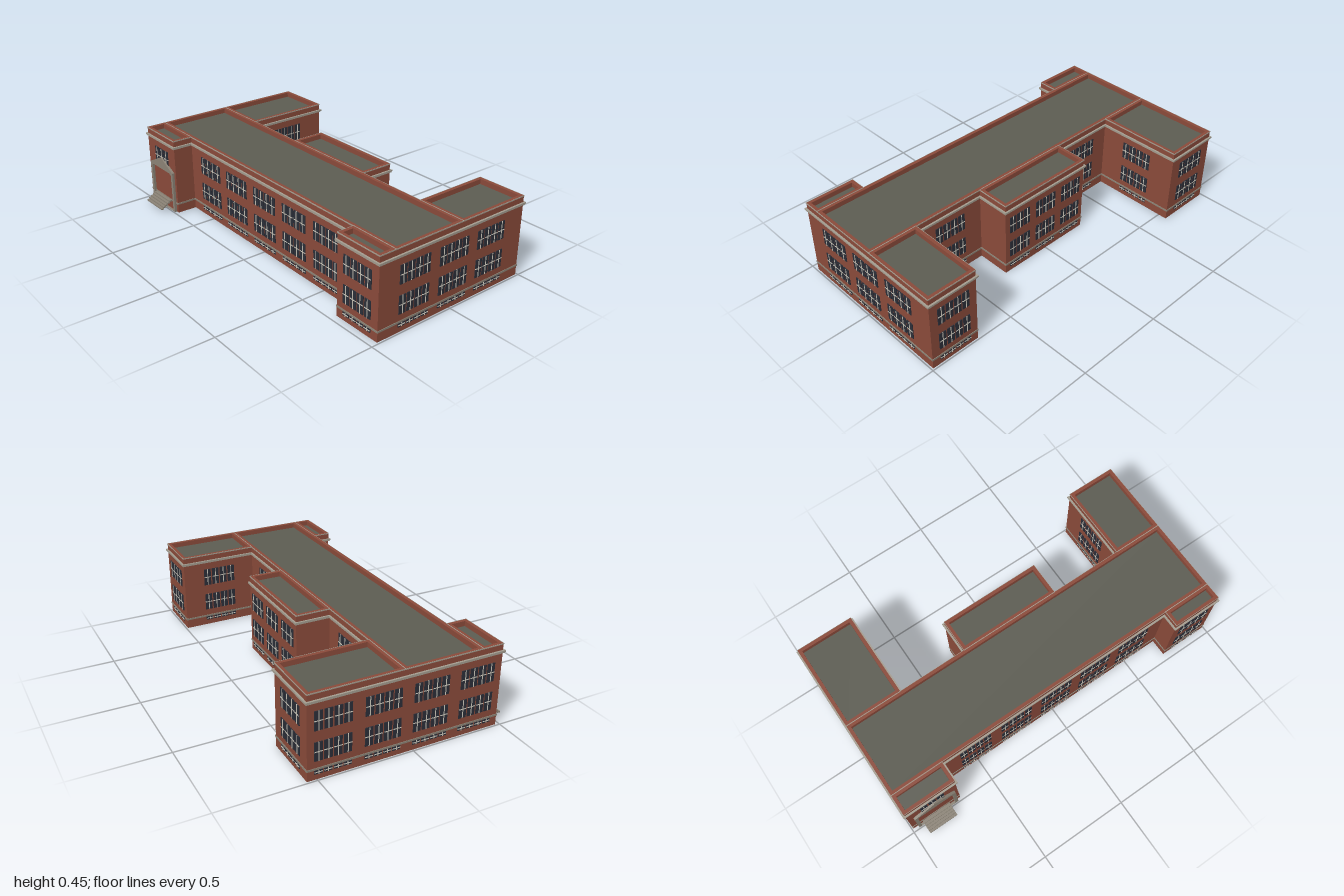
import * as THREE from 'three';
import { mergeGeometries } from 'three/addons/utils/BufferGeometryUtils.js';

const mat = (name, color) => {
  const m = new THREE.MeshStandardMaterial({ color });
  m.name = name;
  return m;
};

export function createModel() {
  const brick = mat('brick', 0x8a4a3a);
  const roofing = mat('roofing', 0x5c5c52);
  const stone = mat('stone', 0x8b8376);
  const paleStone = mat('paleStone', 0xa39c8f);
  const glass = mat('glass', 0x2b2e38);
  const bars = mat('windowBars', 0xcac5b8);

  const model = new THREE.Group();
  model.name = 'building';
  const add = (name, geometry, material, parent = model) => {
    const mesh = new THREE.Mesh(geometry, material);
    mesh.name = name;
    parent.add(mesh);
    return mesh;
  };
  const box = (w, h, d, x, y, z) => new THREE.BoxGeometry(w, h, d).translate(x, y, z);

  // Rectangular ring of wall: grown outward by "out", "inset" thick inside the footprint
  const rect = (Type, x0, x1, z0, z1) => new Type([
    new THREE.Vector2(x0, -z1), new THREE.Vector2(x1, -z1),
    new THREE.Vector2(x1, -z0), new THREE.Vector2(x0, -z0),
  ]);
  const ring = ([x0, x1, z0, z1], out, inset, y0, y1) => {
    const s = rect(THREE.Shape, x0 - out, x1 + out, z0 - out, z1 + out);
    s.holes.push(rect(THREE.Path, x0 + inset, x1 - inset, z0 + inset, z1 - inset));
    return new THREE.ExtrudeGeometry(s, { depth: y1 - y0, bevelEnabled: false })
      .rotateX(-Math.PI / 2).translate(0, y0, 0);
  };

  // Blocks of the building: footprint x0, x1, z0, z1
  const blocks = {
    mainBlock: [-0.99, 0.99, -0.06, 0.365],
    backRightWing: [-0.99, -0.67, -0.55, -0.06],
    backLeftWing: [0.71, 0.99, -0.49, -0.06],
    backMiddleWing: [-0.28, 0.295, -0.25, -0.06],
    frontRightBay: [-0.99, -0.695, 0.365, 0.48],
    frontLeftBay: [0.71, 0.99, 0.365, 0.46],
  };
  for (const [name, f] of Object.entries(blocks)) {
    const block = new THREE.Group();
    block.name = name;
    model.add(block);
    const [x0, x1, z0, z1] = f;
    add('walls', ring(f, 0, 0.018, 0, 0.445), brick, block);
    add('roof', box(x1 - x0 - 0.036, 0.01, z1 - z0 - 0.036,
      (x0 + x1) / 2, 0.413, (z0 + z1) / 2), roofing, block);
    add('baseBand', ring(f, 0.003, 0.01, 0.051, 0.061), stone, block);
    add('corniceLower', ring(f, 0.007, 0.01, 0.396, 0.402), paleStone, block);
    add('corniceUpper', ring(f, 0.01, 0.01, 0.402, 0.41), paleStone, block);
    add('parapetTrim', ring(f, 0.002, 0, 0.44, 0.446), paleStone, block);
  }

  // One bay of windows, n panes wide, over the given rows [bottom, top]
  const storeys = [[0.03, 0.05], [0.098, 0.196], [0.255, 0.354]];
  const paneW = 0.041, pitch = 0.049;
  const bayParts = (n, rows) => {
    const panes = [], strips = [];
    for (let i = 0; i < n; i++) {
      const x = (i - (n - 1) / 2) * pitch;
      for (const [a, b] of rows) {
        const y = (a + b) / 2, h = b - a;
        panes.push(box(paneW, h, 0.004, x, y, 0.002));
        strips.push(box(0.004, h, 0.006, x, y, 0.003));
        strips.push(box(paneW, 0.004, 0.006, x, y, 0.003));
      }
    }
    return [mergeGeometries(panes), mergeGeometries(strips)];
  };
  const wide = bayParts(4, storeys);
  const narrow = bayParts(3, storeys);
  const upperOnly = bayParts(3, [storeys[2]]);
  const turn = { front: 0, left: Math.PI / 2, back: Math.PI, right: -Math.PI / 2 };
  const bay = (facing, x, z, parts = wide) => {
    const g = new THREE.Group();
    g.name = facing + 'Windows';
    add('panes', parts[0], glass, g);
    add('bars', parts[1], bars, g);
    g.position.set(x, 0, z);
    g.rotation.y = turn[facing];
    model.add(g);
  };

  // Front
  for (const x of [-0.5, -0.245, 0.01, 0.262, 0.515]) bay('front', x, 0.365);
  bay('front', 0.85, 0.46);
  bay('front', -0.84, 0.48, upperOnly);
  // Sides
  for (const z of [0.241, -0.012, -0.264]) bay('left', 0.99, z);
  for (const z of [0.345, 0.09, -0.165, -0.42]) bay('right', -0.99, z);
  // Back
  bay('back', -0.83, -0.55);
  bay('back', 0.85, -0.49);
  for (const x of [-0.18, 0.008, 0.195]) bay('back', x, -0.25, narrow);
  bay('back', 0.5, -0.06);
  bay('back', -0.475, -0.06);
  // Courtyard sides of the back wings
  bay('left', -0.67, -0.3);
  bay('right', 0.71, -0.275);

  // Gabled stone surround of the entrance
  const px = -0.837;
  const v = (x, y) => new THREE.Vector2(px + x, y);
  const surround = new THREE.Shape([
    v(-0.124, 0), v(0.124, 0), v(0.124, 0.245), v(0, 0.305), v(-0.124, 0.245)]);
  surround.holes.push(new THREE.Path([
    v(-0.106, 0.001), v(-0.106, 0.225), v(-0.09, 0.235),
    v(0.09, 0.235), v(0.106, 0.225), v(0.106, 0.001)]));
  add('entranceSurround', new THREE.ExtrudeGeometry(surround,
    { depth: 0.014, bevelEnabled: false }).translate(0, 0, 0.48), stone);

  // Entrance steps
  for (let i = 0; i < 5; i++) {
    add('step', box(0.17, 0.008, 0.017, -0.845, 0.018 + i * 0.009, 0.547 - i * 0.0135), stone);
  }
  return model;
}
